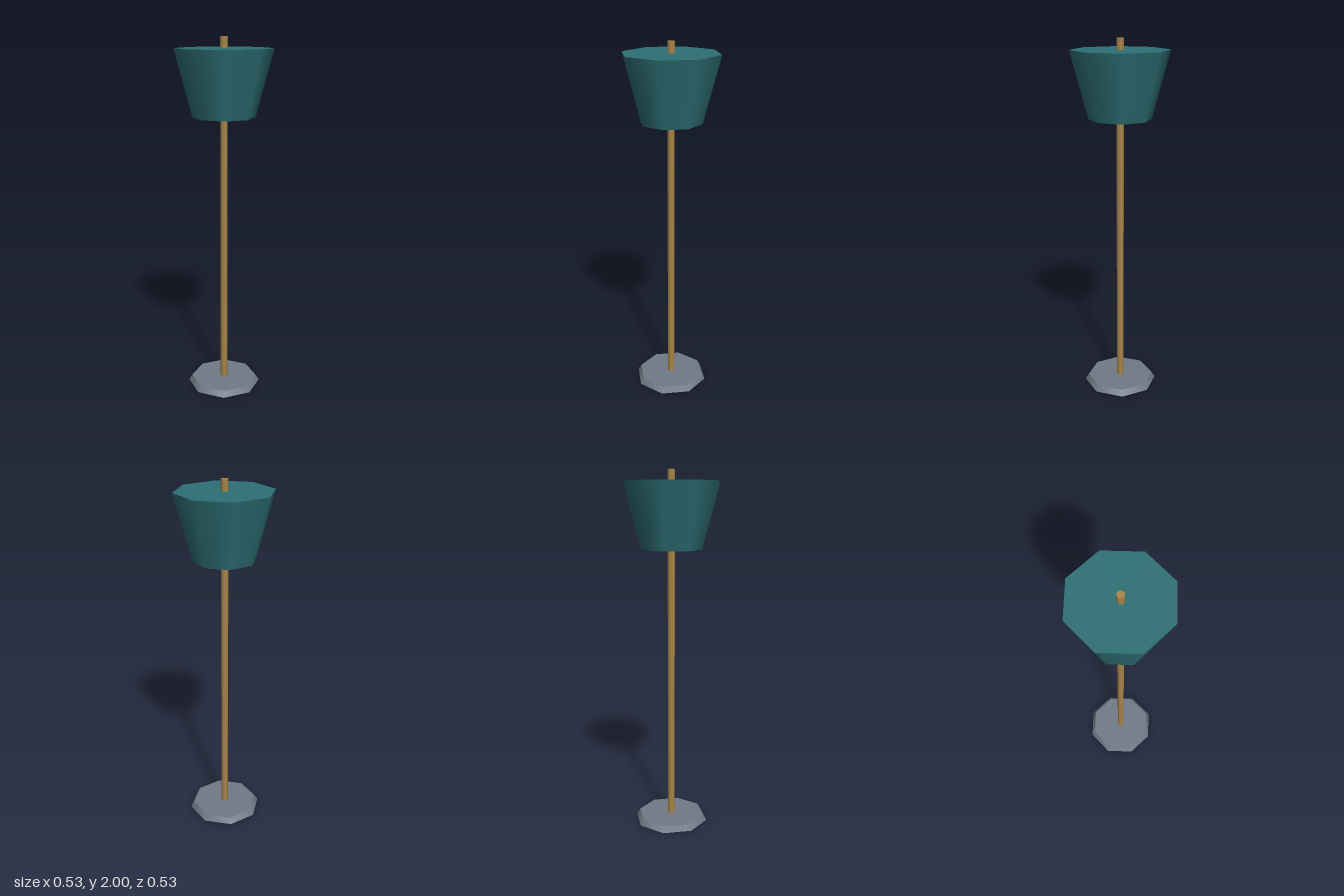
import * as THREE from 'three';

const SIDES = 8;

export function createModel() {
  const lamp = new THREE.Group();
  lamp.name = 'floorLamp';

  const material = (name, color) => {
    const m = new THREE.MeshStandardMaterial({ color });
    m.name = name;
    return m;
  };
  const grey = material('greyMetal', 0x707a86);
  const brass = material('brass', 0xa9854a);
  const teal = material('tealFabric', 0x2e7075);

  // Closed, tapered eight-sided part between two heights
  const addTaper = (name, topRadius, bottomRadius, y0, y1, mat) => {
    const geometry = new THREE.CylinderGeometry(topRadius, bottomRadius, y1 - y0, SIDES);
    const mesh = new THREE.Mesh(geometry, mat);
    mesh.name = name;
    mesh.position.y = (y0 + y1) / 2;
    lamp.add(mesh);
  };

  addTaper('base', 0.19, 0.21, 0, 0.032, grey);
  addTaper('pole', 0.02, 0.02, 0.032, 2, brass);
  addTaper('shade', 0.265, 0.17, 1.58, 1.94, teal);

  return lamp;
}
